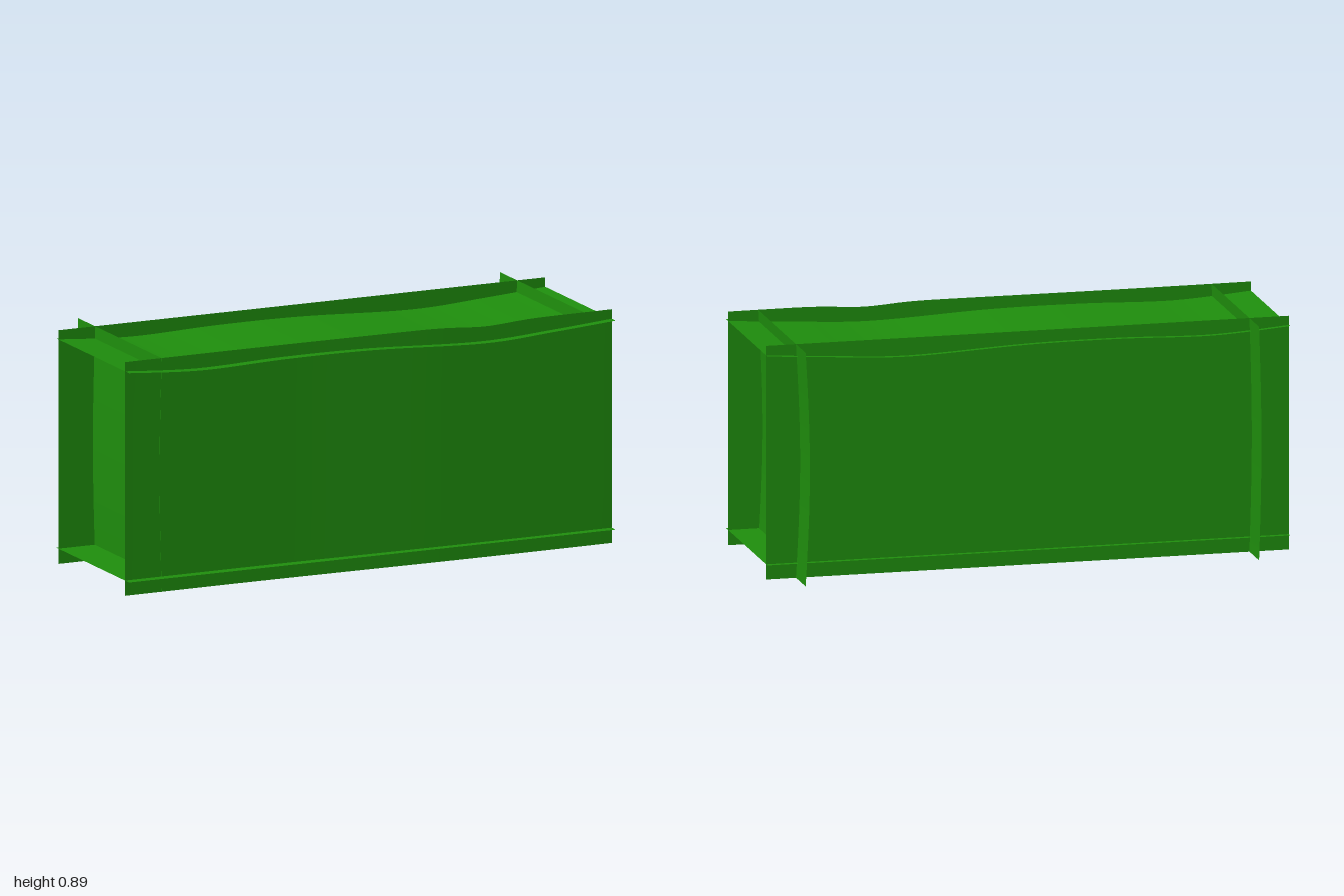
import * as THREE from 'three';

const material = new THREE.MeshStandardMaterial({ color: 0x1f8f0d, side: THREE.DoubleSide });

// Smooth height profile of the sagging lid along its length
const lidCurve = new THREE.SplineCurve([
  [-1, 0.855], [-0.7, 0.836], [-0.35, 0.844], [0, 0.842], [0.45, 0.823], [0.75, 0.837], [1, 0.854],
].map(([x, y]) => new THREE.Vector2(x, y)));
const bump = (x, centre, width) => Math.exp(-(((x - centre) / width) ** 2));

// Thin sheet: place(u, v) maps the unit square to a point in space
function sheet(name, nu, nv, place) {
  const geometry = new THREE.PlaneGeometry(1, 1, nu, nv);
  const p = geometry.attributes.position;
  for (let i = 0; i < p.count; i++) p.setXYZ(i, ...place(p.getX(i) + 0.5, p.getY(i) + 0.5));
  geometry.computeVertexNormals();
  const mesh = new THREE.Mesh(geometry, material);
  mesh.name = name;
  return mesh;
}

export function createModel() {
  const group = new THREE.Group();
  group.name = 'panelBox';
  const along = (u) => -1 + 2 * u;

  // Long walls; the front one is slightly bowed with a dip in its top edge
  group.add(sheet('frontPanel', 40, 4, (u, v) => {
    const x = along(u);
    return [x, v * (0.89 - 0.012 * bump(x, 0.48, 0.13)), 0.34 + 0.004 * Math.sin(x * Math.PI)];
  }));
  group.add(sheet('backPanel', 4, 4, (u, v) => [along(u), v * 0.89, -0.235]));

  // Wavy lid and flat floor, both overhanging the long walls
  group.add(sheet('topPanel', 48, 4, (u, v) => {
    const p = lidCurve.getPoint(u);
    return [p.x, p.y, 0.375 - 0.63 * v + 0.006 * (1 - v) * bump(p.x, 0.5, 0.2)];
  }));
  group.add(sheet('bottomPanel', 4, 4, (u, v) => [along(u), 0.058, 0.375 - 0.63 * v]));

  // End walls, bowed over their height and running out past the back
  for (const [name, x, bow] of [['leftEndPanel', 0.885, 0.016], ['rightEndPanel', -0.849, 0.009]]) {
    group.add(sheet(name, 4, 20, (u, v) => [x - bow * Math.sin(v * Math.PI), v * 0.89, 0.34 - 0.722 * u]));
  }
  return group;
}
